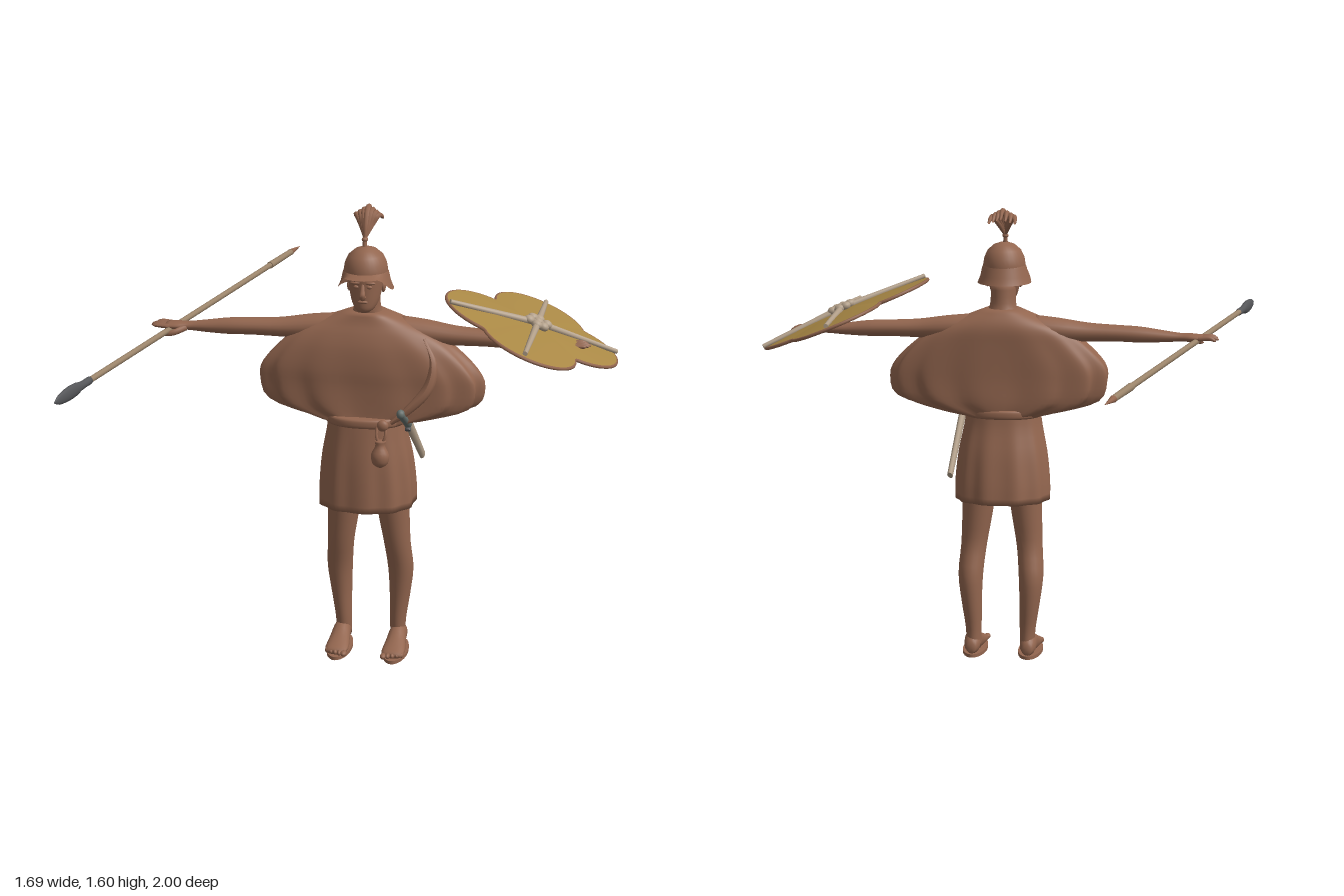
import * as THREE from 'three';
import { toCreasedNormals } from 'three/addons/utils/BufferGeometryUtils.js';

const mat = (name, color) => {
  const m = new THREE.MeshStandardMaterial({ color, side: THREE.DoubleSide });
  m.name = name;
  return m;
};
const V = (x, y, z) => new THREE.Vector3(x, y, z);

// Skin through oval sections [s, a, b, ra, rb] along an axis.
// (s,a,b) is (x,y,z) for axis x, (y,z,x) for axis y and (z,x,y) for axis z.
function loft(rows, { axis = 'y', n = 24, p = 2, steps = 3, radius = () => 1 } = {}) {
  if (steps > 1) {
    rows = [...rows].sort((r, q) => r[0] - q[0]);
    const spline = f => new THREE.CatmullRomCurve3(rows.map(f), false, 'catmullrom', 0.5);
    const mid = spline(r => V(r[0], r[1], r[2])), size = spline(r => V(r[3], r[4], 0));
    const count = (rows.length - 1) * steps;
    rows = Array.from({ length: count + 1 }, (_, i) => {
      const c = mid.getPoint(i / count), q = size.getPoint(i / count);
      return [c.x, c.y, c.z, q.x, q.y];
    });
  }
  const pos = [], idx = [], last = rows.length - 1;
  const put = (s, a, b) => pos.push(...(axis === 'x' ? [s, a, b] : axis === 'y' ? [b, s, a] : [a, b, s]));
  const power = c => Math.sign(c) * Math.abs(c) ** (2 / p);
  rows.forEach(([s, a, b, ra, rb], r) => {
    for (let i = 0; i < n; i++) {
      const t = i / n * Math.PI * 2, k = radius(t, s);
      put(s, a + ra * k * power(Math.cos(t)), b + rb * k * power(Math.sin(t)));
      const j = (i + 1) % n, o = r * n;
      if (r < last) idx.push(o + i, o + j, o + n + i, o + j, o + n + j, o + n + i);
    }
  });
  const end = rows.length * n;
  put(...rows[0].slice(0, 3));
  put(...rows[last].slice(0, 3));
  for (let i = 0; i < n; i++) {
    const j = (i + 1) % n;
    idx.push(end, j, i, end + 1, last * n + i, last * n + j);
  }
  const g = new THREE.BufferGeometry();
  g.setAttribute('position', new THREE.Float32BufferAttribute(pos, 3));
  g.setIndex(idx);
  g.computeVertexNormals();
  return g;
}

// Tube along points whose radius follows a rule of t in 0..1
function taper(points, rule, seg = 12, sides = 8) {
  const curve = new THREE.CatmullRomCurve3(points.map(q => V(...q)));
  const g = new THREE.TubeGeometry(curve, seg, 1, sides), at = g.attributes.position, v = V();
  for (let i = 0; i < at.count; i++) {
    const t = Math.floor(i / (sides + 1)) / seg, c = curve.getPointAt(t);
    v.fromBufferAttribute(at, i).sub(c).multiplyScalar(rule(t)).add(c);
    at.setXYZ(i, v.x, v.y, v.z);
  }
  g.computeVertexNormals();
  return g;
}

export function createModel() {
  const root = new THREE.Group();
  root.name = 'warrior';
  const brown = mat('brown', 0x93664f), gold = mat('shieldGold', 0xa98845), wood = mat('spearWood', 0x9c856b);
  const steel = mat('darkSteel', 0x56575a), pale = mat('paleLeather', 0xb3a08a), hilt = mat('hiltGrey', 0x66706c);
  const add = (name, geo, m = brown, parent = root) => {
    const mesh = new THREE.Mesh(geo, m);
    mesh.name = name;
    parent.add(mesh);
    return mesh;
  };
  const ball = (name, c, r, m = brown, parent = root) => {
    const b = add(name, new THREE.SphereGeometry(1, 14, 10), m, parent);
    b.position.set(...c);
    b.scale.set(...r);
    return b;
  };
  const rod = (name, a, b, r0, r1, m, parent = root, sides = 10) => {
    const p = V(...a), d = V(...b).sub(p);
    const c = add(name, new THREE.CylinderGeometry(r1, r0, d.length(), sides), m, parent);
    c.position.copy(p).addScaledVector(d, 0.5);
    c.quaternion.setFromUnitVectors(V(0, 1, 0), d.normalize());
    return c;
  };

  // Tunic: flared skirt, tight waist and wide billowing top
  add('skirt', loft([[0.57, 0.147, 0, 0.147, 0.166], [0.64, 0.149, 0, 0.142, 0.165], [0.74, 0.154, 0, 0.13, 0.155],
    [0.83, 0.16, 0, 0.113, 0.138], [0.89, 0.16, 0, 0.105, 0.13]],
  { n: 80, p: 2.3, radius: (t, y) => 1 + 0.025 * Math.sin(t * 11 + 1) * Math.min(1, (0.93 - y) * 4) }));
  add('tunicTop', loft([[0.87, 0.155, 0.005, 0.1, 0.13], [0.89, 0.15, 0.01, 0.1, 0.23], [0.93, 0.147, 0.015, 0.1, 0.35],
    [1.0, 0.146, 0.014, 0.097, 0.38], [1.06, 0.146, 0.008, 0.097, 0.365], [1.13, 0.142, 0.005, 0.093, 0.3],
    [1.18, 0.135, 0, 0.085, 0.23], [1.215, 0.133, 0, 0.072, 0.15], [1.25, 0.14, 0, 0.055, 0.06]],
  { n: 96, p: 2.4, radius: (t, y) => 1 + 0.035 * Math.sin(t * 13 + y * 6) * Math.max(0, Math.min(1, (1.2 - y) * 4)) }));
  add('belt', loft([[0.868, 0.16, 0, 0.112, 0.137], [0.875, 0.16, 0, 0.118, 0.143], [0.893, 0.16, 0, 0.118, 0.143],
    [0.9, 0.16, 0, 0.112, 0.137]], { n: 40, p: 2.3 }));
  add('clothFold', taper([[0.2, 1.17, 0.19], [0.235, 1.09, 0.215], [0.22, 1.01, 0.235], [0.15, 0.93, 0.255], [0.1, 0.89, 0.26]],
    t => 0.007 + 0.012 * Math.sin(t * Math.PI), 24));
  ball('beltKnot', [0.075, 0.885, 0.277], [0.02, 0.02, 0.014]);
  for (const x of [0.055, 0.085]) add('pouchCord', taper([[x, 0.88, 0.275], [x, 0.85, 0.285], [0.068, 0.81, 0.285]], () => 0.005));
  add('pouch', loft([[0.74, 0.287, 0.068, 0.006, 0.006], [0.755, 0.287, 0.068, 0.024, 0.026], [0.785, 0.287, 0.068, 0.027, 0.031],
    [0.815, 0.285, 0.068, 0.016, 0.017], [0.835, 0.283, 0.068, 0.017, 0.02]], { n: 16 }));

  // Legs, feet, arms and hands, mirrored
  for (const s of [1, -1]) {
    const side = s > 0 ? 'left' : 'right';
    add(side + 'Leg', loft([[0.03, 0.078, 0.097, 0.034, 0.026], [0.1, 0.083, 0.097, 0.036, 0.028], [0.2, 0.082, 0.104, 0.044, 0.036],
      [0.3, 0.089, 0.108, 0.052, 0.044], [0.4, 0.114, 0.1, 0.05, 0.046], [0.5, 0.122, 0.09, 0.057, 0.053],
      [0.62, 0.128, 0.08, 0.066, 0.062]].map(([y, z, x, a, b]) => [y, z, x * s, a, b])));
    add(side + 'Foot', loft([[0.036, 0.1, 0.035, 0.016, 0.018], [0.06, 0.1, 0.045, 0.028, 0.036], [0.1, 0.1, 0.05, 0.031, 0.04],
      [0.15, 0.1, 0.037, 0.036, 0.03], [0.2, 0.1, 0.028, 0.041, 0.018], [0.232, 0.1, 0.023, 0.034, 0.01]]
      .map(([z, x, y, a, b]) => [z, x * s, y, a, b]), { axis: 'z', n: 16 }));
    for (let i = 0; i < 5; i++)
      ball(side + 'Toe', [s * (0.07 + i * 0.0155), 0.022, 0.238 - i * 0.006], [i ? 0.008 : 0.011, 0.01, 0.016]);
    const sole = add(side + 'Sole', new THREE.CylinderGeometry(1, 1, 0.012, 28));
    sole.position.set(0.1 * s, 0.006, 0.145);
    sole.scale.set(0.043, 1, 0.108);
    add(side + 'Arm', loft([[0.1, 1.185, 0.13, 0.045, 0.055], [0.2, 1.178, 0.13, 0.042, 0.05], [0.3, 1.172, 0.135, 0.033, 0.04],
      [0.4, 1.17, 0.137, 0.029, 0.036], [0.48, 1.167, 0.138, 0.028, 0.033], [0.56, 1.163, 0.139, 0.021, 0.026],
      [0.62, 1.161, 0.139, 0.015, 0.021], [0.66, 1.161, 0.139, 0.014, 0.031], [0.7, 1.16, 0.138, 0.011, 0.032]]
      .map(([x, ...r]) => [x * s, ...r]), { axis: 'x', n: 18 }));
    for (let i = 0; i < 4; i++) {
      const z = 0.113 + i * 0.017, tip = 0.758 - Math.abs(i - 1.3) * 0.009;
      add(side + 'Finger', taper([[s * 0.685, 1.161, z], [s * 0.725, 1.163, z - 0.001], [s * tip, 1.154 + i * 0.003, z + (i - 2) * 0.003]],
        t => 0.0085 * Math.sqrt(1.02 - t ** 4)));
    }
    add(side + 'Thumb', taper([[s * 0.63, 1.157, 0.153], [s * 0.665, 1.145, 0.178], [s * 0.7, 1.136, 0.184]], t => 0.011 * Math.sqrt(1.02 - t ** 4)));
    // Face details
    ball(side + 'Eye', [s * 0.022, 1.353, 0.234], [0.01, 0.006, 0.006]);
    ball(side + 'Brow', [s * 0.024, 1.367, 0.233], [0.019, 0.006, 0.009]);
    ball(side + 'Ear', [s * 0.058, 1.34, 0.165], [0.008, 0.02, 0.012]);
  }

  // Neck and head
  add('neck', loft([[1.2, 0.133, 0, 0.06, 0.09], [1.235, 0.137, 0, 0.05, 0.058], [1.27, 0.145, 0, 0.046, 0.045],
    [1.34, 0.152, 0, 0.046, 0.045]]));
  add('head', loft([[1.262, 0.21, 0, 0.016, 0.018], [1.275, 0.198, 0, 0.038, 0.034], [1.3, 0.183, 0, 0.055, 0.047],
    [1.34, 0.172, 0, 0.067, 0.056], [1.38, 0.171, 0, 0.069, 0.06], [1.42, 0.172, 0, 0.066, 0.058], [1.45, 0.172, 0, 0.03, 0.03]]));
  add('nose', taper([[0, 1.362, 0.234], [0, 1.34, 0.244], [0, 1.323, 0.249], [0, 1.318, 0.238]], t => 0.006 + 0.006 * t));
  ball('mouth', [0, 1.302, 0.236], [0.018, 0.006, 0.008]);

  // Helmet: dome and flared brim, raised over the face
  const dome = add('helmetDome', new THREE.LatheGeometry([[0.074, 1.375], [0.074, 1.4], [0.07, 1.425], [0.058, 1.45], [0.036, 1.469],
    [0.013, 1.477], [0, 1.478]].map(q => new THREE.Vector2(...q)), 32));
  dome.position.z = 0.174;
  dome.scale.z = 1.1;
  const brim = new THREE.LatheGeometry([[0.072, 1.4], [0.077, 1.392], [0.084, 1.36], [0.094, 1.335]]
    .map(q => new THREE.Vector2(...q)), 40), bp = brim.attributes.position;
  for (let i = 0; i < bp.count; i++) {
    const x = bp.getX(i), y = bp.getY(i), z = bp.getZ(i), f = Math.max(0, z / Math.hypot(x, z));
    const low = (1.4 - y) / 0.065;
    bp.setY(i, y + 0.052 * low * Math.min(1, f * 1.3) ** 2);
    bp.setZ(i, z * (1.07 + (z > 0 ? 0.14 * low * f : 0)));
  }
  brim.computeVertexNormals();
  add('helmetBrim', brim).position.z = 0.174;
  rod('crestStem', [-0.004, 1.465, 0.174], [-0.004, 1.51, 0.168], 0.009, 0.006, brown);
  ball('crestKnob', [-0.004, 1.5, 0.17], [0.011, 0.008, 0.011]);
  for (let i = -3; i <= 3; i++) {
    const x = i * 0.012, d = Math.abs(i) * 0.006;
    add('plume', taper([[-0.004, 1.5, 0.17], [x * 0.5 - 0.004, 1.545, 0.155 - d], [x - 0.004, 1.59 - d, 0.12],
      [x * 1.2 - 0.004, 1.592 - d * 1.5, 0.08 + d], [x * 1.25 - 0.004, 1.572 - d, 0.055 + d * 1.3]],
    t => 0.003 + 0.0075 * Math.sin(Math.PI * Math.min(1, t * 0.95)), 16));
  }

  // Spear, held level across the right hand
  const spear = new THREE.Group();
  spear.name = 'spear';
  spear.position.set(-0.655, 1.15, 0);
  spear.rotation.y = -Math.atan2(0.37, 2);
  root.add(spear);
  rod('spearShaft', [0, 0, -0.93], [0, 0, 0.8], 0.01, 0.01, wood, spear);
  rod('spearButtWrap', [0, 0, -0.93], [0, 0, -0.72], 0.011, 0.013, wood, spear);
  rod('spearButtTip', [0, 0, -1.016], [0, 0, -0.925], 0.001, 0.012, brown, spear);
  add('spearHead', loft([[0.77, 0, 0, 0.012, 0.013], [0.83, 0, 0, 0.012, 0.014], [0.87, 0, 0, 0.012, 0.022], [0.92, 0, 0, 0.011, 0.024],
    [0.98, 0, 0, 0.007, 0.017], [1.016, 0, 0, 0.001, 0.002]], { axis: 'z', n: 12 }), steel, spear);

  // Sword in its scabbard on the left hip
  rod('scabbard', [0.15, 0.865, 0.185], [0.163, 0.682, -0.03], 0.02, 0.016, pale).scale.x = 0.6;
  rod('swordGrip', [0.138, 0.925, 0.275], [0.149, 0.868, 0.195], 0.012, 0.014, hilt);
  rod('swordGuard', [0.149, 0.885, 0.172], [0.149, 0.848, 0.204], 0.01, 0.01, steel);
  ball('swordPommel', [0.137, 0.931, 0.282], [0.014, 0.016, 0.016], hilt);

  // Four-lobed shield, strapped above the left forearm
  const shield = new THREE.Group();
  shield.name = 'shield';
  shield.position.set(0.568, 1.213, 0.147);
  shield.rotation.z = -0.396;
  root.add(shield);
  const lobes = [[0.14, -0.04, 0.155], [-0.15, 0.055, 0.162], [0, -0.15, 0.162], [0, 0.16, 0.164]];
  const edge = t => Math.max(...lobes.map(([x, z, r]) => {
    const d = x * Math.sin(t) + z * Math.cos(t);
    return d + Math.sqrt(Math.max(0, r * r - x * x - z * z + d * d));
  }));
  const plate = [[0.006, 0.03], [0.003, 0.5], [-0.008, 1], [0.002, 1], [0.013, 0.5], [0.016, 0.03]].map(([y, k]) => [y, 0, 0, k, k]);
  add('shieldBoard', toCreasedNormals(loft(plate, { n: 96, steps: 1, radius: edge }), 0.6), gold, shield);
  const outline = Array.from({ length: 96 }, (_, i) => {
    const t = i / 96 * Math.PI * 2, r = edge(t);
    return V(r * Math.sin(t), -0.003, r * Math.cos(t));
  });
  add('shieldRim', new THREE.TubeGeometry(new THREE.CatmullRomCurve3(outline, true), 192, 0.006, 6, true), brown, shield);
  for (const [x, z] of [[0.285, -0.118], [-0.292, 0.14], [0, -0.3], [0, 0.312]])
    rod('shieldRib', [0, 0.022, 0], [x, 0.009, z], 0.013, 0.008, pale, shield);
  for (const [x, z] of [[0, 0], [0.03, -0.014], [-0.03, 0.014], [0, -0.032], [0, 0.032], [0.022, 0.024], [-0.022, -0.022]])
    ball('shieldBinding', [x, 0.026, z], [0.019, 0.015, 0.017], pale, shield);
  rod('shieldGrip', [0.12, -0.008, -0.07], [0.12, -0.008, 0.08], 0.008, 0.008, brown, shield);

  return root;
}
